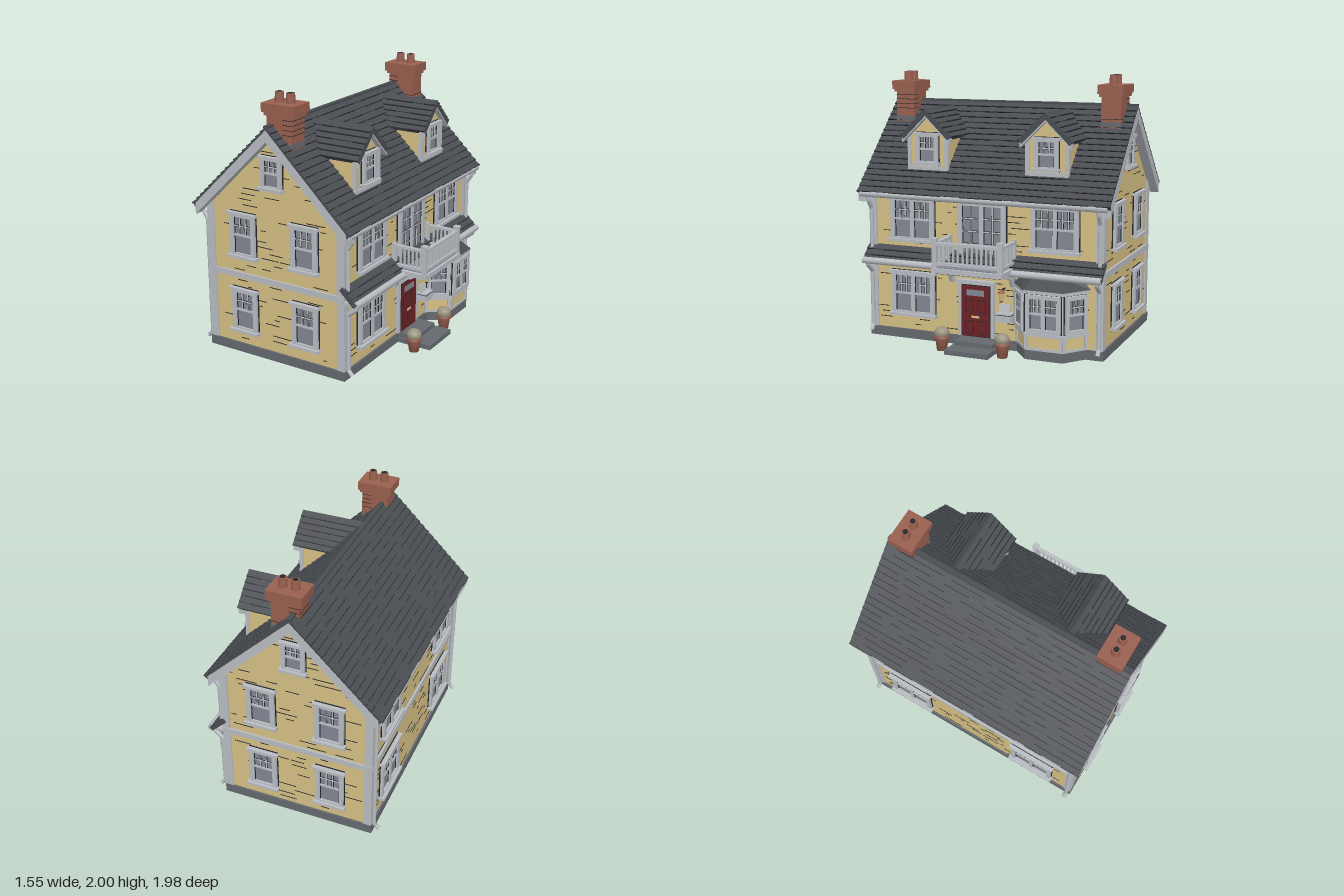
import * as THREE from 'three';
import { mergeGeometries } from 'three/addons/utils/BufferGeometryUtils.js';

const mat = (name, color) => Object.assign(new THREE.MeshStandardMaterial({ color }), { name });
const WALL = mat('wall yellow', 0xd6c084), TRIM = mat('trim grey', 0xb9bdc2), SLATE = mat('slate', 0x494c51),
  STONE = mat('foundation stone', 0x65696e), BRICK = mat('brick', 0x99604f), RED = mat('door red', 0x6b2226),
  GLASS = mat('window glass', 0x838792), INK = mat('dark seam', 0x25272a), PLANT = mat('dry plant', 0x9b957f);

const CX = -0.1, RIDGE = 1.775, HALF = 0.67, SLOPE = 0.975;
let seed = 7;
const rnd = () => (seed = (seed * 16807) % 2147483647) / 2147483647;

function add(parent, name, geo, material, x = 0, y = 0, z = 0) {
  const m = new THREE.Mesh(geo, material);
  m.name = name;
  m.position.set(x, y, z);
  parent.add(m);
  return m;
}
const box = (p, name, m, w, h, d, x, y, z) => add(p, name, new THREE.BoxGeometry(w, h, d), m, x, y, z);
function group(parent, name, x = 0, y = 0, z = 0, ry = 0) {
  const g = new THREE.Group();
  g.name = name;
  g.position.set(x, y, z);
  g.rotation.y = ry;
  parent.add(g);
  return g;
}
const extrude = (pts, depth) => new THREE.ExtrudeGeometry(
  new THREE.Shape(pts.map(p => new THREE.Vector2(...p))), { depth, bevelEnabled: false });
// plan polygon of [x, z] raised from y0 to y1
const prism = (pts, y0, y1) => extrude(pts.map(([x, z]) => [x, -z]), y1 - y0).rotateX(-Math.PI / 2).translate(0, y0, 0);

// inverted V board under a gable roof
function vBoard(parent, name, half, apex, t, depth, z) {
  const e = apex - half * SLOPE;
  add(parent, name, extrude([[0, apex], [-half, e], [-half, e - t], [0, apex - t], [half, e - t], [half, e]], depth), TRIM, 0, 0, z);
}

// one roof slope: local +x runs down from the ridge, z runs along it
function roofSlope(parent, name, half, width, n, ry, x, y, z) {
  const holder = group(parent, name, x, y, z, ry), g = group(holder, 'slope');
  g.rotation.z = -Math.atan(SLOPE);
  const len = half * Math.hypot(1, SLOPE), d = len / n, seams = [], courses = [];
  box(g, 'roofDeck', SLATE, len, 0.03, width, len / 2, -0.02, 0);
  for (let i = 0; i < n; i++) {
    courses.push(new THREE.BoxGeometry(d * 1.1, 0.01, width).rotateZ(0.18).translate((i + 0.5) * d, -0.002, 0));
    for (let s = -width / 2; s < width / 2;) {
      const l = Math.min(0.08 + rnd() * 0.4, width / 2 - s);
      seams.push(new THREE.BoxGeometry(0.007, 0.01, l).translate((i + 1.04) * d, 0.003, s + l / 2));
      s += l + 0.02 + rnd() * 0.16;
    }
  }
  add(g, 'shingleCourses', mergeGeometries(courses), SLATE);
  add(g, 'shingleSeams', mergeGeometries(seams), INK);
}

// broken clapboard seams on a wall plane
function clapboards(parent, y0, y1, halfAt, density) {
  const list = [];
  for (let y = y0; y < y1; y += 0.042) {
    for (let k = 0; k < density; k++) {
      const h = halfAt(y), l = Math.min(0.03 + rnd() * 0.13, h);
      list.push(new THREE.BoxGeometry(l, 0.005, 0.004).translate((rnd() * 2 - 1) * (h - l / 2), y, 0.001));
    }
  }
  add(parent, 'clapboardSeams', mergeGeometries(list), INK);
}

// sash window on a wall facing local +z; y is its bottom
function sashWindow(parent, x, y, w, h, { units = 1, tall = false, surround = true, f = 0.035 } = {}) {
  const g = group(parent, tall ? 'balconyDoors' : 'window', x, y + h / 2, 0);
  box(g, 'frameShadow', INK, w + 0.012, h + 0.012, 0.008, 0, 0, 0.004);
  box(g, 'glass', GLASS, w - f, h - f, 0.006, 0, 0, 0.008);
  for (const s of [-1, 1]) {
    box(g, 'jamb', TRIM, f, h, 0.028, s * (w - f) / 2, 0, 0.014);
    box(g, 'rail', TRIM, w, f, 0.028, 0, s * (h - f) / 2, 0.014);
  }
  if (surround) {
    box(g, 'headCornice', TRIM, w + 0.03, 0.02, 0.042, 0, h / 2 - 0.008, 0.02);
    box(g, 'sill', TRIM, w + 0.03, 0.022, 0.05, 0, -h / 2 + 0.011, 0.025);
  }
  const gap = 0.03, uw = (w - 2 * f - (units - 1) * gap) / units, ih = h - 2 * f;
  for (let u = 0; u < units; u++) {
    const ux = -w / 2 + f + uw / 2 + u * (uw + gap);
    if (u) box(g, 'mullion', TRIM, gap, h - f, 0.026, ux - (uw + gap) / 2, 0, 0.013);
    for (const s of [-1, 1]) box(g, 'sashEdge', INK, 0.006, ih, 0.004, ux + s * (uw / 2 - 0.003), 0, 0.013);
    if (!tall) box(g, 'meetingRail', TRIM, uw, 0.016, 0.016, ux, 0, 0.012);
    const mid = tall ? 0 : ih / 4, mh = tall ? ih : ih / 2, rows = tall ? 4 : 2, cols = tall ? 2 : 3;
    const bar = (bw, bh, bx, by) => {
      box(g, 'muntinShadow', INK, bw + 0.008, bh + 0.008, 0.004, bx, by, 0.012);
      box(g, 'muntin', TRIM, bw, bh, 0.006, bx, by, 0.014);
    };
    for (let c = 1; c < cols; c++) bar(0.008, mh, ux - uw / 2 + uw * c / cols, mid);
    for (let r = 1; r < rows; r++) bar(uw, 0.008, ux, mid - mh / 2 + mh * r / rows);
  }
}

function pipe(parent, name, pts) {
  const path = new THREE.CurvePath();
  const v = pts.map(p => new THREE.Vector3(...p));
  for (let i = 1; i < v.length; i++) path.add(new THREE.LineCurve3(v[i - 1], v[i]));
  add(parent, name, new THREE.TubeGeometry(path, 40, 0.016, 8), TRIM);
}

export function createModel() {
  const house = new THREE.Group();
  house.name = 'house';

  // foundation and gabled body
  box(house, 'foundation', STONE, 1.19, 0.07, 1.87, CX, 0.035, 0);
  const eaveY = RIDGE - 0.04 - 0.58 * SLOPE;
  add(house, 'walls', extrude([[-0.58, 0.07], [0.58, 0.07], [0.58, eaveY], [0, RIDGE - 0.04], [-0.58, eaveY]], 1.84), WALL, CX, 0, -0.92);
  for (const x of [-0.56, 0.56]) for (const z of [-0.9, 0.9])
    box(house, 'cornerBoard', TRIM, 0.06, 1.09, 0.06, CX + x, 0.615, z);

  // gable ends
  for (const s of [1, -1]) {
    const g = group(house, 'gableEnd', CX, 0, s * 0.92, s > 0 ? 0 : Math.PI);
    clapboards(g, 0.11, 1.66, y => Math.min(0.52, (RIDGE - y) / SLOPE - 0.07), 2);
    box(g, 'bandBoard', TRIM, 1.16, 0.045, 0.02, 0, 0.615, 0.005);
    for (const x of [-0.265, 0.265]) for (const y of [0.17, 0.755]) sashWindow(g, x, y, 0.22, 0.345);
    sashWindow(g, 0, 1.31, 0.175, 0.245, { f: 0.03 });
    vBoard(g, 'bargeBoard', 0.645, RIDGE - 0.02, 0.085, 0.07, 0.002);
  }

  // main roof
  roofSlope(house, 'frontRoof', HALF, 1.98, 17, 0, CX, RIDGE, 0);
  roofSlope(house, 'rearRoof', HALF, 1.98, 17, Math.PI, CX, RIDGE, 0);
  box(house, 'ridgeCap', SLATE, 0.035, 0.016, 1.98, CX, RIDGE, 0);

  // long walls: entrance side faces +x, rear faces -x
  const front = group(house, 'entranceWall', CX + 0.58, 0, 0, Math.PI / 2);
  const rear = group(house, 'rearWall', CX - 0.58, 0, 0, -Math.PI / 2);
  for (const g of [front, rear]) {
    clapboards(g, 0.11, 1.08, () => 0.87, 4);
    box(g, 'frieze', TRIM, 1.84, 0.06, 0.02, 0, 1.125, 0.01);
    for (const x of [-0.565, 0.565]) for (const y of [0.18, 0.75])
      if (g === rear || y > 0.5 || x < 0) sashWindow(g, x, y, 0.36, 0.345, { units: 2 });
  }
  box(rear, 'bandBoard', TRIM, 1.84, 0.045, 0.02, 0, 0.615, 0.005);
  sashWindow(front, 0, 0.64, 0.38, 0.45, { units: 2, tall: true });

  // skirt roof between floors
  roofSlope(house, 'skirtRoof', 0.115, 1.88, 3, 0, 0.48, 0.715, 0);
  box(house, 'skirtSoffit', TRIM, 0.1, 0.02, 1.86, 0.53, 0.595, 0);

  // gutters and downpipes
  const gutter = (x, y, len) => add(house, 'gutter', new THREE.CylinderGeometry(0.026, 0.026, len, 10).rotateX(Math.PI / 2), TRIM, x, y, 0);
  gutter(0.555, 1.105, 1.94);
  gutter(-0.755, 1.105, 1.94);
  gutter(0.585, 0.6, 1.88);
  for (const z of [-0.905, 0.905]) {
    pipe(house, 'rearDownpipe', [[-0.75, 1.1, z], [-0.745, 1.05, z], [-0.705, 0.99, z], [-0.705, 0.08, z], [-0.745, 0.045, z]]);
    pipe(house, 'upperDownpipe', [[0.55, 1.1, z], [0.545, 1.05, z], [0.505, 0.99, z], [0.505, 0.68, z]]);
    pipe(house, 'lowerDownpipe', [[0.585, 0.6, z], [0.575, 0.56, z], [0.51, 0.51, z], [0.51, 0.08, z], [0.54, 0.045, z]]);
  }

  // dormers
  for (const z of [0.475, -0.47]) {
    const d = group(house, 'dormer', 0, 0, z, Math.PI / 2);
    add(d, 'dormerWall', extrude([[-0.16, 1.26], [0.16, 1.26], [0.16, 1.55], [0, 1.705], [-0.16, 1.55]], 0.4), WALL);
    for (const s of [-1, 1]) {
      box(d, 'dormerCorner', TRIM, 0.03, 0.29, 0.03, s * 0.151, 1.405, 0.392);
      roofSlope(d, 'dormerRoof', 0.205, 0.5, 6, s > 0 ? 0 : Math.PI, 0, 1.742, 0.195);
    }
    box(d, 'dormerApron', TRIM, 0.33, 0.03, 0.02, 0, 1.3, 0.4);
    vBoard(d, 'dormerBargeBoard', 0.195, 1.725, 0.045, 0.045, 0.398);
    const face = group(d, 'dormerFace', 0, 0, 0.4);
    sashWindow(face, 0, 1.325, 0.18, 0.24, { f: 0.03 });
  }

  // chimneys with twin pots
  for (const z of [-0.835, 0.835]) {
    const c = group(house, 'chimney', -0.04, 0, z);
    box(c, 'stack', BRICK, 0.21, 0.27, 0.15, 0, 1.735, 0);
    box(c, 'flashing', STONE, 0.216, 0.035, 0.156, 0, 1.64, 0);
    for (let y = 1.68; y < 1.84; y += 0.035) box(c, 'brickSeam', INK, 0.08, 0.004, 0.153, 0.067 * (rnd() < 0.5 ? 1 : -1), y, 0);
    box(c, 'corbel', BRICK, 0.24, 0.03, 0.175, 0, 1.855, 0);
    box(c, 'cap', BRICK, 0.27, 0.065, 0.195, 0, 1.895, 0);
    for (const x of [-0.047, 0.047]) {
      add(c, 'chimneyPot', new THREE.CylinderGeometry(0.03, 0.034, 0.08, 14), BRICK, x, 1.958, 0);
      add(c, 'potOpening', new THREE.CylinderGeometry(0.02, 0.02, 0.004, 14), INK, x, 1.998, 0);
    }
  }

  // balcony
  const b = group(house, 'balcony');
  box(b, 'balconySlab', TRIM, 0.29, 0.035, 0.55, 0.63, 0.615, 0);
  box(b, 'balconyFloor', GLASS, 0.25, 0.006, 0.49, 0.63, 0.635, 0);
  box(b, 'balconyUnderside', SLATE, 0.26, 0.008, 0.52, 0.63, 0.595, 0);
  for (const y of [0.665, 0.81]) {
    box(b, 'frontRail', TRIM, 0.03, 0.02, 0.52, 0.75, y, 0);
    for (const z of [-0.255, 0.255]) box(b, 'sideRail', TRIM, 0.26, 0.02, 0.03, 0.63, y, z);
  }
  for (let i = 1; i < 14; i++) box(b, 'baluster', TRIM, 0.013, 0.14, 0.013, 0.75, 0.74, -0.255 + i * 0.51 / 14);
  for (const z of [-0.255, 0.255]) {
    box(b, 'newelPost', TRIM, 0.035, 0.21, 0.035, 0.75, 0.735, z);
    box(b, 'newelCap', TRIM, 0.046, 0.014, 0.046, 0.75, 0.845, z);
    box(b, 'wallPost', TRIM, 0.03, 0.2, 0.03, 0.5, 0.73, z);
    for (let i = 1; i < 7; i++) box(b, 'baluster', TRIM, 0.013, 0.14, 0.013, 0.52 + i * 0.033, 0.74, z);
    add(b, 'bracket', extrude([[0.48, 0.59], [0.48, 0.47], [0.51, 0.48], [0.54, 0.54], [0.65, 0.575], [0.65, 0.59]], 0.025), TRIM, 0, 0, z * 0.95 - 0.0125);
  }

  // front door and steps
  const door = group(front, 'frontDoor', -0.045, 0, 0);
  box(door, 'doorFrame', TRIM, 0.285, 0.42, 0.025, 0, 0.285, 0.012);
  box(door, 'doorHead', TRIM, 0.31, 0.022, 0.04, 0, 0.492, 0.02);
  box(door, 'doorGap', INK, 0.232, 0.392, 0.006, 0, 0.272, 0.024);
  box(door, 'doorLeaf', RED, 0.22, 0.38, 0.01, 0, 0.272, 0.026);
  box(door, 'doorLight', GLASS, 0.14, 0.045, 0.006, 0, 0.41, 0.03);
  for (const x of [-0.05, 0.05]) for (const [y, h] of [[0.31, 0.1], [0.15, 0.1]]) {
    box(door, 'panelGroove', INK, 0.07, h, 0.004, x, y, 0.03);
    box(door, 'panel', RED, 0.058, h - 0.012, 0.006, x, y, 0.031);
  }
  box(door, 'letterPlate', WALL, 0.06, 0.016, 0.006, 0, 0.228, 0.032);
  box(house, 'topStep', STONE, 0.16, 0.07, 0.3, 0.56, 0.035, 0.01);
  box(house, 'lowerStep', STONE, 0.29, 0.036, 0.34, 0.625, 0.018, 0.01);

  // bay window
  const BZ = -0.54;
  const plan = o => [[0.48, BZ + 0.27 + o], [0.64 + o, BZ + 0.14 + o / 2], [0.64 + o, BZ - 0.14 - o / 2], [0.48, BZ - 0.27 - o]];
  const bay = group(house, 'bayWindow');
  add(bay, 'bayFoundation', prism(plan(0.005), 0, 0.07), STONE);
  add(bay, 'bayBase', prism(plan(0), 0.07, 0.19), WALL);
  add(bay, 'baySkirting', prism(plan(0.006), 0.07, 0.09), TRIM);
  add(bay, 'baySill', prism(plan(0.015), 0.175, 0.2), TRIM);
  add(bay, 'bayFrame', prism(plan(0), 0.2, 0.49), TRIM);
  add(bay, 'bayCornice', prism(plan(0.02), 0.485, 0.51), TRIM);
  const cap = prism(plan(0.025), 0.51, 0.59), p = cap.attributes.position;
  for (let i = 0; i < p.count; i++) if (p.getY(i) > 0.55) {
    p.setX(i, 0.48 + (p.getX(i) - 0.48) * 0.45);
    p.setZ(i, BZ + (p.getZ(i) - BZ) * 0.72);
  }
  cap.computeVertexNormals();
  add(bay, 'bayRoof', cap, SLATE);
  const turn = Math.atan2(0.13, 0.16);
  for (const [x, z, ry, w] of [[0.64, BZ, Math.PI / 2, 0.26], [0.56, BZ + 0.205, turn, 0.18], [0.56, BZ - 0.205, Math.PI - turn, 0.18]]) {
    const f = group(bay, 'bayFacet', x, 0, z, ry);
    sashWindow(f, 0, 0.205, w, 0.275, { units: w > 0.2 ? 2 : 1, surround: false, f: 0.028 });
    for (const s of [-1, 1]) box(f, 'bayPost', TRIM, 0.025, 0.1, 0.012, s * w / 2, 0.13, 0.004);
  }

  // planters, lantern and letter box
  const pot = [[0, 0], [0.037, 0], [0.049, 0.085], [0.057, 0.085], [0.057, 0.11], [0.045, 0.11], [0, 0.105]].map(q => new THREE.Vector2(...q));
  for (const z of [0.245, -0.235]) {
    add(house, 'planterPot', new THREE.LatheGeometry(pot, 18), BRICK, 0.67, 0, z);
    add(house, 'planterShrub', new THREE.SphereGeometry(0.056, 16, 10).scale(1, 0.85, 1), PLANT, 0.67, 0.13, z);
  }
  const lamp = group(house, 'wallLantern', 0.545, 0.41, -0.175);
  add(lamp, 'lanternGlass', new THREE.CylinderGeometry(0.024, 0.015, 0.06, 6), WALL);
  add(lamp, 'lanternHood', new THREE.ConeGeometry(0.032, 0.03, 6), BRICK, 0, 0.043, 0);
  box(lamp, 'lanternArm', INK, 0.07, 0.008, 0.01, -0.03, 0.05, 0);
  box(lamp, 'lanternFoot', INK, 0.02, 0.01, 0.02, 0, -0.034, 0);
  const post = group(house, 'letterBox', 0.52, 0.255, -0.195);
  box(post, 'letterBoxBody', TRIM, 0.08, 0.065, 0.115, 0, 0, 0);
  box(post, 'letterBoxSeam', INK, 0.083, 0.004, 0.117, 0, 0.02, 0);
  box(post, 'letterBoxLid', TRIM, 0.012, 0.07, 0.085, -0.015, 0.06, 0.01).rotation.z = 0.25;
  return house;
}
